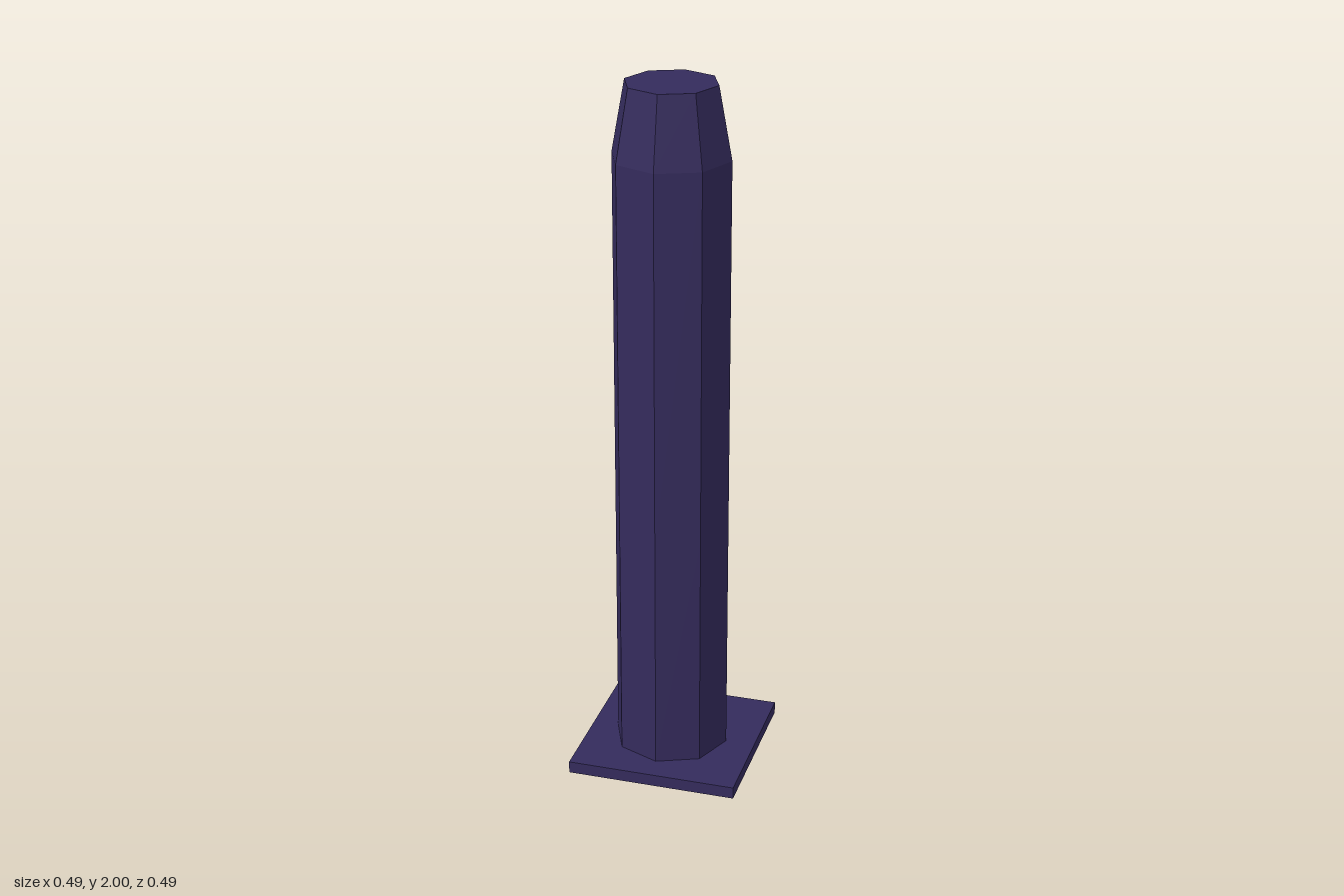
import * as THREE from 'three';

const R = 0.166, R_TOP = 0.129;            // octagon radii of shaft and crown
const C = R * Math.SQRT1_2;                // diagonal corner offset
const Y_BASE = 0.035, Y_LOW = 0.735, Y_HIGH = 1.8, LIP = 0.07;

const mat = (color) => new THREE.MeshStandardMaterial({ color, flatShading: true, side: THREE.DoubleSide });

// Flat convex polygons, each fanned into triangles
function facets(polygons) {
  const pos = [];
  for (const p of polygons)
    for (let i = 1; i < p.length - 1; i++) pos.push(...p[0], ...p[i], ...p[i + 1]);
  const g = new THREE.BufferGeometry();
  g.setAttribute('position', new THREE.Float32BufferAttribute(pos, 3));
  g.computeVertexNormals();
  return g;
}

// Upright wall following a path of [x, z] points
function wall(path, y0, y1) {
  return facets(path.slice(1).map(([x, z], i) => {
    const [px, pz] = path[i];
    return [[px, y0, pz], [x, y0, z], [x, y1, z], [px, y1, pz]];
  }));
}

export function createModel() {
  const model = new THREE.Group();
  const column = new THREE.Group();
  column.name = 'column';
  column.position.set(-0.006, 0, 0.006);
  model.add(column);

  const body = mat(0x342b5c), trim = mat(0x6656c4), glow = mat(0xcc4632);
  const add = (name, geometry, material, parent = column) => {
    const mesh = new THREE.Mesh(geometry, material);
    mesh.name = name;
    parent.add(mesh);
    return mesh;
  };

  // Square foot plate
  add('basePlate', new THREE.BoxGeometry(0.49, Y_BASE, 0.49), body, model).position.y = Y_BASE / 2;

  // Eight-sided shaft: closed below, open at the back beside the recess
  add('lowerShaft', new THREE.CylinderGeometry(R, R, Y_LOW - Y_BASE, 8), body)
    .position.y = (Y_LOW + Y_BASE) / 2;
  add('middleShaft', new THREE.CylinderGeometry(R, R, Y_HIGH - Y_LOW, 6, 1, true, -Math.PI * 0.75, Math.PI * 1.5), body)
    .position.y = (Y_HIGH + Y_LOW) / 2;
  add('taperedCrown', new THREE.CylinderGeometry(R_TOP, R, 2 - Y_HIGH, 8), body)
    .position.y = (2 + Y_HIGH) / 2;

  // Recess plan: jamb, lamp front, lamp side, back panel
  const jamb = [0.095, -0.068], inner = [0.055, -0.068], rear = [0.055, 0.03];
  for (const s of [1, -1]) {
    const side = s > 0 ? 'left' : 'right';
    const flip = (pts) => pts.map(([x, z]) => [x * s, z]);
    add(side + 'Jamb', wall(flip([[C, -C], jamb]), Y_LOW, Y_HIGH), trim);
    add(side + 'LightStrip', wall(flip([jamb, inner, rear]), Y_LOW, Y_HIGH), glow);
  }
  add('recessBack', wall([rear, [-rear[0], rear[1]]], Y_LOW, Y_HIGH), trim);

  // Chamfered lips closing the recess below and above
  const lip = (name, y0, y1) => {
    const at = (y, x, z) => [x, y, z];
    const polys = [
      [0.08, 0, -0.08, -jamb[0], jamb[0]].map((x, i) =>
        at(y1, x, [-0.132, -R, -0.132, jamb[1], jamb[1]][i])),
      [[1, inner], [-1, inner], [-1, rear], [1, rear]].map(([s, p]) => at(y1, s * p[0], p[1])),
    ];
    for (const s of [1, -1]) {
      polys.push([at(y0, 0, -R), at(y0, s * C, -C), at(y1, s * 0.08, -0.132), at(y1, 0, -R)]);
      polys.push([at(y0, s * C, -C), at(y1, s * jamb[0], jamb[1]), at(y1, s * 0.08, -0.132)]);
    }
    add(name, facets(polys), trim);
  };
  lip('lowerLip', Y_LOW, Y_LOW + LIP);
  lip('upperLip', Y_HIGH, Y_HIGH - LIP);

  return model;
}
